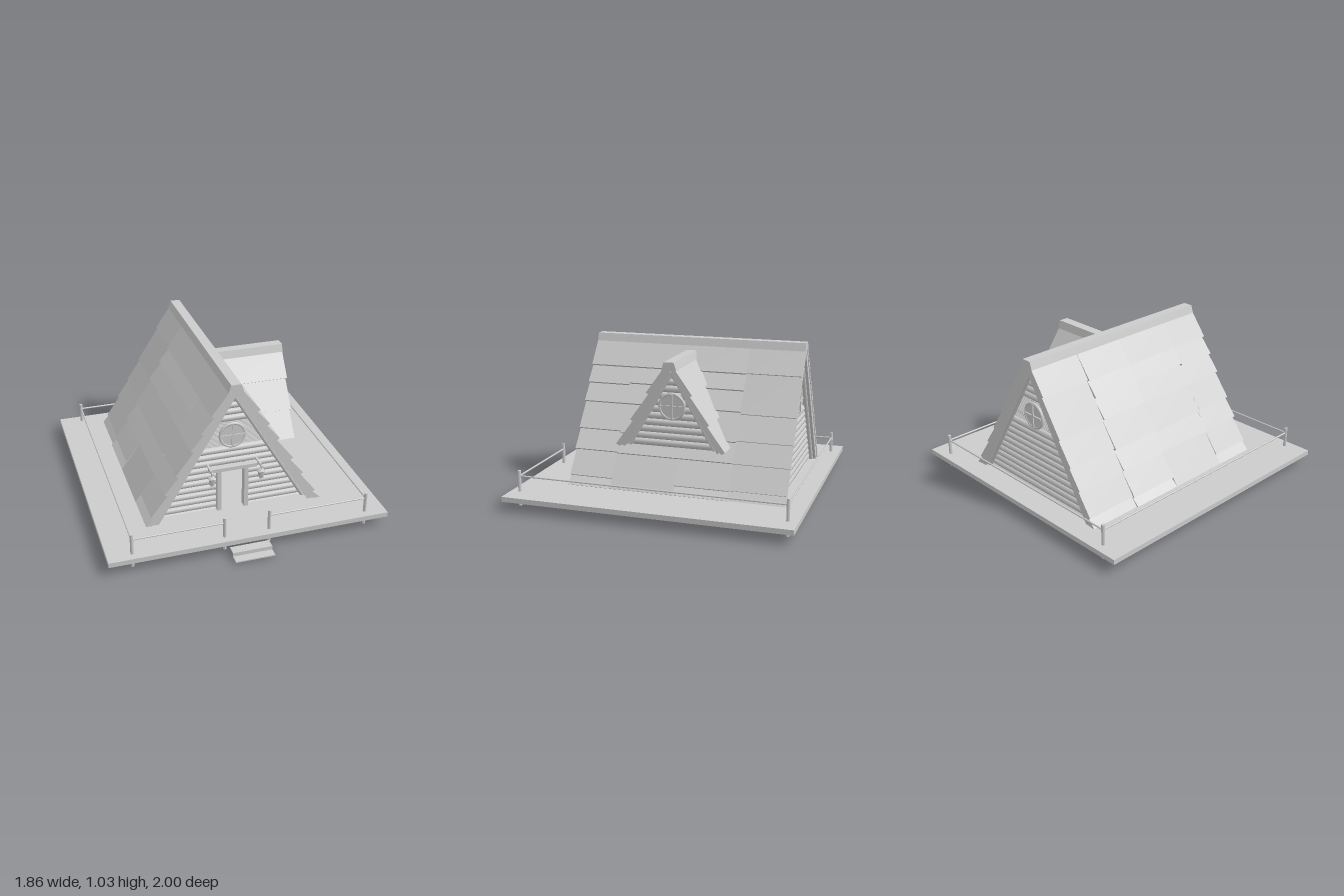
import * as THREE from 'three';

const mat = new THREE.MeshStandardMaterial({ color: 0xcccccc });
const SLOPE = 0.6;
const NX = 0.857, NY = 0.514; // outward normal of the roof slope

function add(parent, name, geo, x = 0, y = 0, z = 0) {
  const m = new THREE.Mesh(geo, mat);
  m.name = name;
  m.position.set(x, y, z);
  parent.add(m);
  return m;
}

function box(parent, name, w, h, d, x, y, z) {
  return add(parent, name, new THREE.BoxGeometry(w, h, d), x, y, z);
}

// Round bar between two points
function bar(parent, name, a, b, r, sides = 8) {
  const p = new THREE.Vector3(...a), q = new THREE.Vector3(...b);
  const m = add(parent, name, new THREE.CylinderGeometry(r, r, p.distanceTo(q), sides));
  m.position.copy(p).lerp(q, 0.5);
  m.quaternion.setFromUnitVectors(new THREE.Vector3(0, 1, 0), q.sub(p).normalize());
  return m;
}

// Half width of a roof at height y, for a ridge at the given height
const roofHalf = (ridge, y) => 0.02 + (ridge - y) * SLOPE;

// Box bent onto one roof slope: thickness runs from nIn to nTop / nBot, back end follows zBack(y)
function slopePanel(parent, name, ridge, side, yTop, yBot, zBack, zFront, nIn, nTop, nBot) {
  const geo = new THREE.BoxGeometry(1, 1, 1);
  const p = geo.attributes.position;
  for (let i = 0; i < p.count; i++) {
    const top = p.getY(i) > 0;
    const y = top ? yTop : yBot;
    const n = p.getX(i) * side > 0 ? (top ? nTop : nBot) : nIn;
    p.setXYZ(i, side * (roofHalf(ridge, y) + n * NX), y + n * NY, p.getZ(i) > 0 ? zFront : zBack(y));
  }
  geo.computeVertexNormals();
  add(parent, name, geo);
}

function ridgeCap(parent, ridge, z0, z1) {
  const s = new THREE.Shape([[-0.05, -0.025], [0.05, -0.025], [0.033, 0.027], [-0.033, 0.027]]
    .map(([x, y]) => new THREE.Vector2(x, ridge + y)));
  add(parent, 'ridgeCap', new THREE.ExtrudeGeometry(s, { depth: z1 - z0, bevelEnabled: false }), 0, 0, z0);
}

function roundWindow(parent, y, z) {
  const g = new THREE.Group();
  g.name = 'roundWindow';
  g.position.set(0, y, z);
  parent.add(g);
  add(g, 'windowPane', new THREE.CylinderGeometry(0.082, 0.082, 0.012, 24)).rotation.x = Math.PI / 2;
  add(g, 'windowRing', new THREE.TorusGeometry(0.082, 0.01, 8, 24));
  box(g, 'windowBar', 0.16, 0.012, 0.02, 0, 0, 0.004);
  box(g, 'windowBar', 0.012, 0.16, 0.02, 0, 0, 0.004);
}

// Triangular log wall facing +z, with rafters and a round window
function gable(parent, name, { apex, base, z, windowY, door = false, slats = null, rafterEnd }) {
  const g = new THREE.Group();
  g.name = name;
  parent.add(g);
  const half = y => (apex - y) * SLOPE;
  for (let y = base; y < apex - 0.03; y += 0.045) {
    if (slats && y > slats[0] && y < slats[1]) continue;
    const w = half(y) + 0.012;
    if (door && y < 0.4) {
      for (const s of [-1, 1]) bar(g, 'log', [s * 0.09, y, z], [s * w, y, z], 0.024, 10);
    } else bar(g, 'log', [-w, y, z], [w, y, z], 0.024, 10);
  }
  // Closely slatted attic band
  if (slats) {
    const [a, b] = slats;
    const s = new THREE.Shape([[-half(a), a], [half(a), a], [half(b), b], [-half(b), b]]
      .map(c => new THREE.Vector2(...c)));
    add(g, 'atticPanel', new THREE.ExtrudeGeometry(s, { depth: 0.01, bevelEnabled: false }), 0, 0, z - 0.02);
    for (let y = a; y < b; y += 0.009) box(g, 'atticSlat', 2 * half(y), 0.004, 0.012, 0, y, z - 0.008);
  }
  // Two rafters along each slope
  for (const s of [-1, 1]) {
    for (const [off, dz] of [[0.022, 0.045], [-0.012, 0.03]]) {
      bar(g, 'rafter', [s * Math.max(off, 0), apex + Math.min(off, 0), z + dz],
        [s * (half(rafterEnd) + off), rafterEnd, z + dz], 0.015);
    }
  }
  roundWindow(g, windowY, z + 0.025);
  return g;
}

// Shingle rows of the main roof: back z, front z, lower edges of the rows
const STRIPS = [
  [0.29, 0.585, [0.82, 0.71, 0.595, 0.43, 0.305, 0.15, 0.09]],
  [-0.14, 0.29, [0.82, 0.72, 0.595, 0.42, 0.3, 0.09]],
  [-0.5, -0.14, [0.82, 0.72, 0.595, 0.42, 0.3, 0.145, 0.09]],
  [-0.866, -0.5, [0.825, 0.585, 0.43, 0.3, 0.15, 0.09]],
];

function buildHouse(root) {
  const house = new THREE.Group();
  house.name = 'house';
  house.position.x = -0.027;
  root.add(house);

  // Main roof
  for (const side of [-1, 1]) {
    slopePanel(house, 'roofSlab', 1, side, 1, 0.095, () => -0.862, 0.58, -0.045, 0, 0);
    for (const [z0, z1, edges] of STRIPS) {
      edges.forEach((y, i) => slopePanel(house, 'roofShingle', 1, side,
        i ? edges[i - 1] + 0.01 : 1, y - 0.008, () => z0, z1, -0.005, 0.008, z1 < -0.4 ? 0.022 : 0.033));
    }
    bar(house, 'sillLog', [side * 0.54, 0.076, -0.83], [side * 0.54, 0.076, 0.48], 0.02);
  }
  ridgeCap(house, 1, -0.866, 0.585);

  // Front and back walls
  const wall = { apex: 0.95, base: 0.08, windowY: 0.64, slats: [0.555, 0.735], rafterEnd: 0.095 };
  const front = gable(house, 'frontWall', { ...wall, z: 0.49, door: true });
  gable(house, 'backWall', { ...wall, z: 0.8 }).rotation.y = Math.PI;

  // Door frame and lanterns
  box(front, 'doorLintel', 0.32, 0.025, 0.04, 0, 0.405, 0.525);
  for (const s of [-1, 1]) {
    box(front, 'doorPost', 0.028, 0.31, 0.05, s * 0.092, 0.25, 0.515);
    const lamp = new THREE.Group();
    lamp.name = 'lantern';
    lamp.position.set(s * 0.165, 0, 0.612);
    front.add(lamp);
    box(lamp, 'lanternArm', 0.014, 0.012, 0.13, 0, 0.44, -0.042);
    bar(lamp, 'lanternHook', [0, 0.4, 0], [0, 0.455, 0], 0.006);
    add(lamp, 'lanternCap', new THREE.CylinderGeometry(0.014, 0.031, 0.014, 4).rotateY(Math.PI / 4), 0, 0.408, 0);
    add(lamp, 'lanternBody', new THREE.CylinderGeometry(0.027, 0.017, 0.052, 4).rotateY(Math.PI / 4), 0, 0.375, 0);
  }

  // Dormer, built facing +z and turned to +x
  const dormer = new THREE.Group();
  dormer.name = 'dormer';
  dormer.position.z = -0.1;
  dormer.rotation.y = Math.PI / 2;
  house.add(dormer);
  const intoRoof = y => roofHalf(1, y) - 0.03;
  const rows = [0.92, 0.74, 0.555, 0.385];
  for (const side of [-1, 1]) {
    slopePanel(dormer, 'dormerSlab', 0.92, side, 0.92, 0.39, intoRoof, 0.525, -0.03, 0, 0);
    for (let i = 1; i < rows.length; i++) {
      slopePanel(dormer, 'dormerShingle', 0.92, side, rows[i - 1], rows[i] - 0.008,
        intoRoof, 0.55 - i * 0.006, -0.005, 0.005, 0.024);
    }
  }
  ridgeCap(dormer, 0.92, 0.065, 0.545);
  gable(dormer, 'dormerWall', { apex: 0.885, base: 0.4, z: 0.455, windowY: 0.65, rafterEnd: 0.385 });
}

function buildDeck(root) {
  box(root, 'deck', 1.86, 0.033, 1.885, 0, 0.079, -0.0575);
  // Steps
  box(root, 'step', 0.26, 0.008, 0.065, -0.025, 0.04, 0.91);
  box(root, 'step', 0.26, 0.008, 0.06, -0.025, 0.014, 0.97);
  box(root, 'stepRiser', 0.26, 0.026, 0.005, -0.025, 0.027, 0.94);
  // Railing runs from one side of the steps round to the other
  const posts = [[-0.173, 0.825], [-0.77, 0.825], [-0.77, -0.935], [0.79, -0.935], [0.79, 0.825], [0.124, 0.825]];
  posts.forEach(([x, z], i) => {
    bar(root, 'railPost', [x, 0, z], [x, 0.235, z], 0.011, 10);
    if (i) bar(root, 'rail', [posts[i - 1][0], 0.198, posts[i - 1][1]], [x, 0.198, z], 0.006);
  });
}

export function createModel() {
  const root = new THREE.Group();
  root.name = 'cabin';
  buildDeck(root);
  buildHouse(root);
  return root;
}
